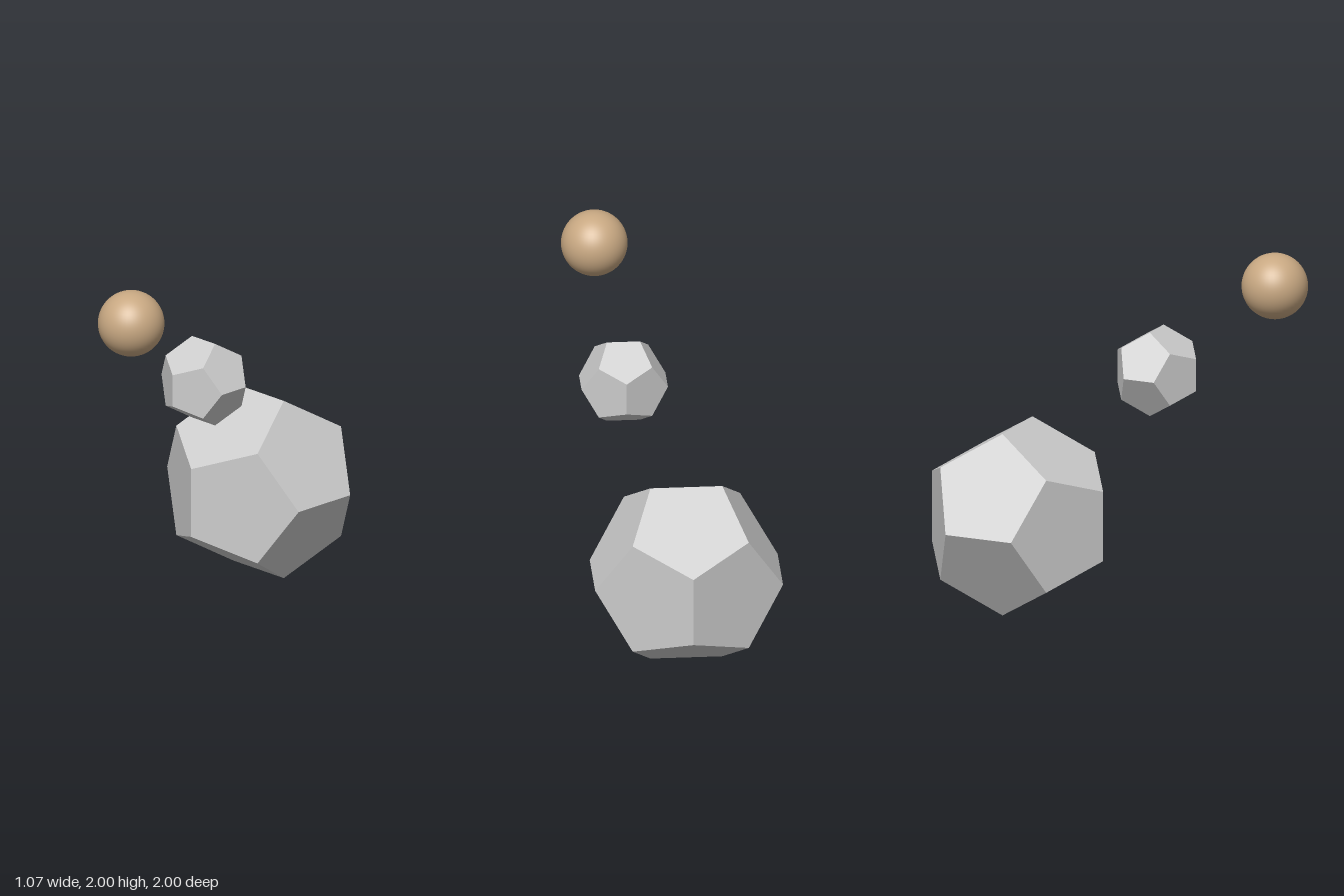
import * as THREE from 'three';

export function createModel() {
  const model = new THREE.Group();
  const grey = new THREE.MeshStandardMaterial({ color: 0xcccccc, flatShading: true });
  const tan = new THREE.MeshStandardMaterial({ color: 0xc8a882 });

  const add = (name, geometry, material, x, y, z) => {
    const mesh = new THREE.Mesh(geometry, material);
    mesh.name = name;
    mesh.position.set(x, y, z);
    model.add(mesh);
  };

  // A dodecahedron's axis extent is golden ratio / sqrt(3) of its radius
  const dodecahedron = (halfSize) =>
    new THREE.DodecahedronGeometry((halfSize * Math.sqrt(3) * 2) / (1 + Math.sqrt(5)));

  // Two faceted solids, large and small
  add('largeDodecahedron', dodecahedron(0.5), grey, -0.035, 0.5, -0.5);
  add('smallDodecahedron', dodecahedron(0.23), grey, 0.248, 1.31, 0.183);

  // Smooth ball at the top
  add('ball', new THREE.SphereGeometry(0.177, 48, 32), tan, 0.355, 1.823, 0.823);

  return model;
}
